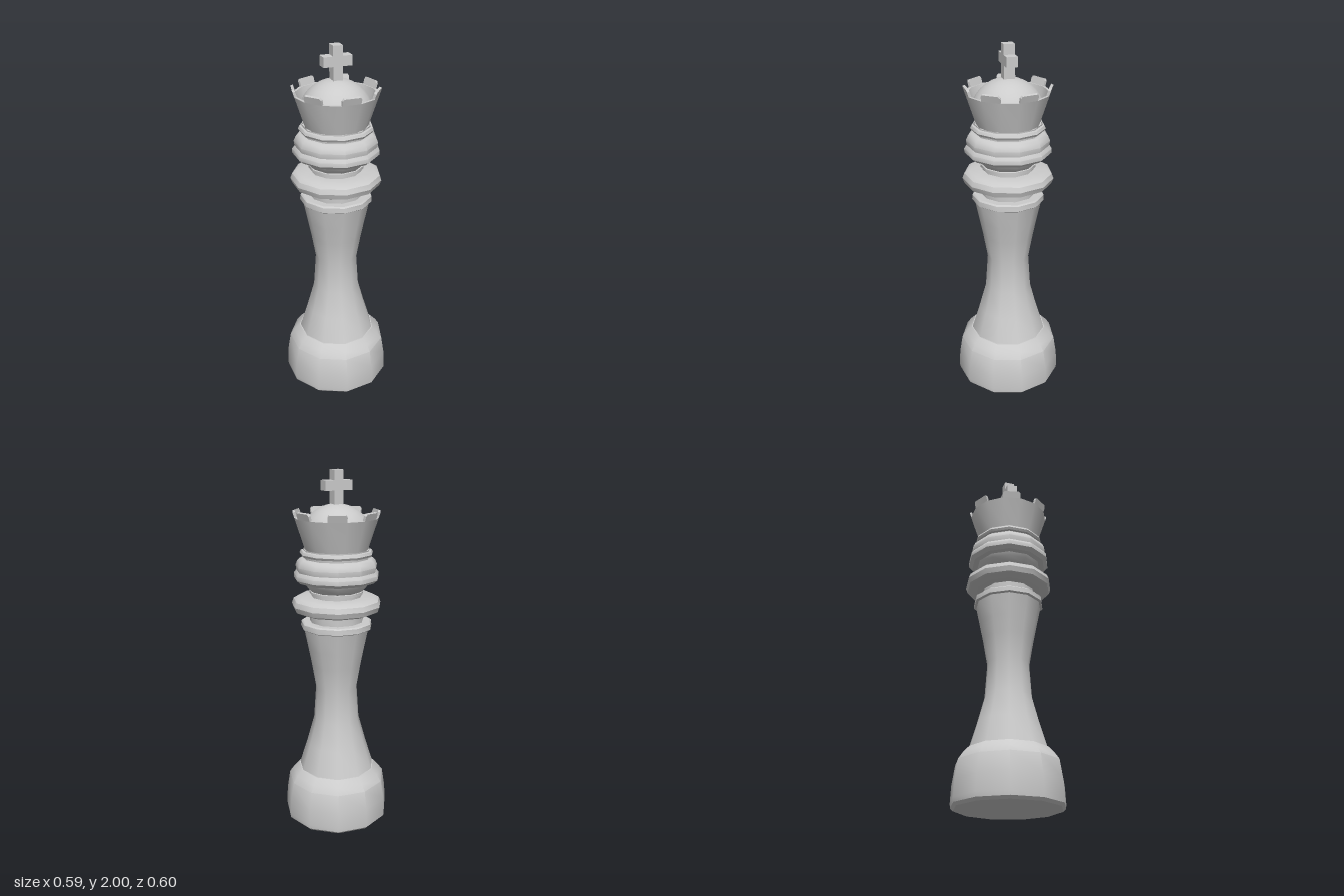
import * as THREE from 'three';
import { toCreasedNormals } from 'three/addons/utils/BufferGeometryUtils.js';

const SIDES = 11, CROWN_SIDES = 14;
const material = new THREE.MeshStandardMaterial({ color: 0xcccccc, side: THREE.DoubleSide });

export function createModel() {
  const model = new THREE.Group();
  model.name = 'chessKing';
  const add = (name, geometry, parent = model) => {
    const mesh = new THREE.Mesh(geometry, material);
    mesh.name = name;
    parent.add(mesh);
    return mesh;
  };
  // Turned part from [radius, height] points, with one corner on +x
  const turned = (name, points, sides = SIDES, parent = model) => {
    const profile = points.map(([r, y]) => new THREE.Vector2(r, y));
    const lathe = new THREE.LatheGeometry(profile, sides, Math.PI / 2);
    return add(name, toCreasedNormals(lathe, 0.65), parent);
  };

  // Foot and waisted stem
  turned('base', [[0, 0], [0.285, 0], [0.3, 0.015], [0.302, 0.04], [0.297, 0.13],
    [0.28, 0.235], [0.255, 0.27], [0.222, 0.305], [0, 0.305]]);
  turned('stem', [[0.218, 0.3], [0.172, 0.45], [0.131, 0.6], [0.118, 0.79],
    [0.142, 0.93], [0.162, 1.03], [0.187, 1.15]]);

  // Collar, neck and stacked rings
  turned('collar', [[0.17, 1.145], [0.193, 1.145], [0.2, 1.15], [0.198, 1.178], [0.19, 1.185], [0, 1.185]]);
  turned('neck', [[0.15, 1.18], [0.15, 1.25]]);
  turned('wideRing', [[0.14, 1.235], [0.215, 1.24], [0.24, 1.252], [0.25, 1.28],
    [0.24, 1.307], [0.215, 1.322], [0.14, 1.325]]);
  turned('upperNeck', [[0.14, 1.32], [0.14, 1.338], [0.15, 1.34], [0.15, 1.355], [0.14, 1.357]]);
  turned('cup', [[0.135, 1.35], [0.152, 1.365], [0.175, 1.39], [0.186, 1.412]]);
  turned('lowerHeadRing', [[0.17, 1.408], [0.215, 1.41], [0.236, 1.428], [0.236, 1.45], [0.222, 1.468], [0.17, 1.47]]);
  turned('upperHeadRing', [[0.18, 1.455], [0.222, 1.468], [0.226, 1.495], [0.215, 1.52], [0.198, 1.534], [0.165, 1.538]]);
  turned('headNeck', [[0.18, 1.53], [0.183, 1.585]]);
  turned('thinRing', [[0.17, 1.547], [0.195, 1.55], [0.202, 1.562], [0.195, 1.576], [0.165, 1.582]]);

  // Crown: flared wall up to the notches
  const crown = new THREE.Group();
  crown.name = 'crown';
  model.add(crown);
  turned('crownWall', [[0, 1.575], [0.169, 1.575], [0.226, 1.75], [0.212, 1.75], [0.186, 1.66]],
    CROWN_SIDES, crown);

  // Seven chamfered teeth, one on every second side of the wall
  const step = 2 * Math.PI / CROWN_SIDES, thickness = 0.014;
  const w = 0.226 * Math.sin(step / 2), h = 0.038;
  const shape = new THREE.Shape([[-w, -0.002], [w, -0.002], [w + 0.001, h - 0.011],
    [w - 0.007, h], [-w + 0.007, h], [-w - 0.001, h - 0.011]].map(([x, y]) => new THREE.Vector2(x, y)));
  const tooth = new THREE.ExtrudeGeometry(shape, { depth: thickness, bevelEnabled: false });
  tooth.translate(0, 0, -thickness);
  tooth.rotateX(Math.atan(0.32));
  tooth.translate(0, 1.75, 0.226 * Math.cos(step / 2));
  for (let i = 0; i < CROWN_SIDES / 2; i++) {
    add('crownTooth', tooth, crown).rotation.y = i * 2 * step;
  }

  // Domed cap inside the crown
  const dome = [];
  for (let i = 0; i <= 8; i++) {
    const a = 1.3 * (1 - i / 8);
    dome.push([0.201 * Math.sin(a), 1.624 + 0.201 * Math.cos(a)]);
  }
  turned('dome', dome, 22);

  // Cross finial
  const bar = 0.052, arm = 0.157, depth = 0.059;
  const cross = new THREE.Group();
  cross.name = 'cross';
  model.add(cross);
  add('crossPost', new THREE.BoxGeometry(bar, 0.19, depth), cross).position.y = 1.905;
  for (const s of [-1, 1]) {
    const length = (arm - bar) / 2;
    add('crossArm', new THREE.BoxGeometry(length, 0.053, depth), cross)
      .position.set(s * (bar + length) / 2, 1.92, 0);
  }

  // Centre the odd-sided outline
  model.children.forEach((part) => { part.position.x = -0.007; });
  return model;
}
